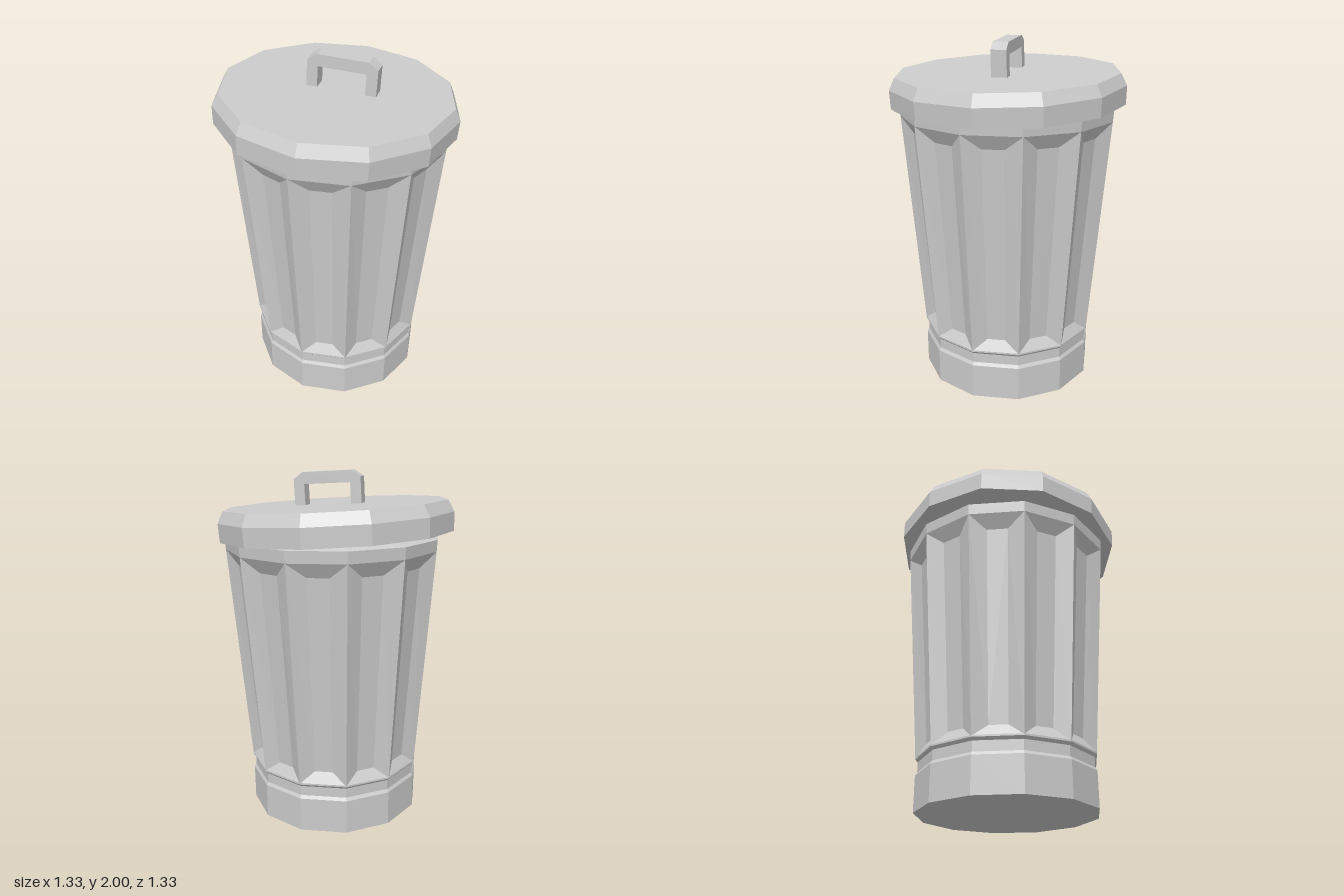
import * as THREE from 'three';

const SIDES = 12;
const material = new THREE.MeshStandardMaterial({ color: 0xcccccc, flatShading: true });

function part(name, geometry) {
  const mesh = new THREE.Mesh(geometry, material);
  mesh.name = name;
  return mesh;
}

// Twelve-sided turned part from [radius, height] pairs, listed bottom to top
function turned(name, profile) {
  const points = profile.map(([r, y]) => new THREE.Vector2(r, y));
  return part(name, new THREE.LatheGeometry(points, SIDES));
}

// Tapered wall: each side is a frame of slopes around a sunken panel
function flutedWall(rBottom, yBottom, rTop, yTop) {
  const positions = [];
  const quad = (a, b, c, d) => {
    for (const p of [a, b, c, a, c, d]) positions.push(p.x, p.y, p.z);
  };
  const corner = (i, y) => {
    const r = THREE.MathUtils.mapLinear(y, yBottom, yTop, rBottom, rTop);
    const angle = (i / SIDES) * Math.PI * 2;
    return new THREE.Vector3(r * Math.sin(angle), y, r * Math.cos(angle));
  };
  const depth = 0.04;
  for (let i = 0; i < SIDES; i++) {
    const mid = ((i + 0.5) / SIDES) * Math.PI * 2;
    const inward = new THREE.Vector3(-Math.sin(mid), 0, -Math.cos(mid)).multiplyScalar(depth);
    const sunken = (t, y) => corner(i, y).lerp(corner(i + 1, y), t).add(inward);
    const outer = [corner(i, yBottom), corner(i + 1, yBottom), corner(i + 1, yTop), corner(i, yTop)];
    const yLow = yBottom + 0.065, yHigh = yTop - 0.08;
    const inner = [sunken(0.31, yLow), sunken(0.69, yLow), sunken(0.69, yHigh), sunken(0.31, yHigh)];
    quad(...inner);
    for (let k = 0; k < 4; k++) {
      const n = (k + 1) % 4;
      quad(outer[k], outer[n], inner[n], inner[k]);
    }
  }
  const geometry = new THREE.BufferGeometry();
  geometry.setAttribute('position', new THREE.Float32BufferAttribute(positions, 3));
  geometry.computeVertexNormals();
  return geometry;
}

// Angular carrying handle, an arch with chamfered shoulders
function handleGeometry() {
  const w = 0.193, leg = 0.06, h = 0.182, bar = 0.066, width = 0.088;
  const shape = new THREE.Shape([
    [-w, -0.02], [-w + leg, -0.02], [-w + leg, h - bar], [w - leg, h - bar],
    [w - leg, -0.02], [w, -0.02], [w, h - 0.036], [w - 0.052, h],
    [-w + 0.052, h], [-w, h - 0.036],
  ].map(([x, y]) => new THREE.Vector2(x, y)));
  const geometry = new THREE.ExtrudeGeometry(shape, { depth: width, bevelEnabled: false });
  return geometry.translate(0, 0, -width / 2);
}

export function createModel() {
  const model = new THREE.Group();
  model.name = 'trashCan';

  // Can, leaning very slightly
  const can = new THREE.Group();
  can.name = 'can';
  can.add(
    turned('base', [[0, 0], [0.508, 0], [0.508, 0.2], [0.497, 0.218], [0.497, 0.275], [0.511, 0.29], [0.511, 0.3]]),
    part('flutedWall', flutedWall(0.511, 0.295, 0.612, 1.565)),
    turned('rim', [[0.612, 1.565], [0.616, 1.63], [0.51, 1.655], [0, 1.655]]),
  );
  can.position.y = 0.005;
  can.rotation.set(-0.006, 0, -0.008);
  model.add(can);

  // Lid, turned a little and resting askew
  const lid = new THREE.Group();
  lid.name = 'lid';
  lid.add(turned('cover', [[0, 0], [0.667, 0], [0.67, 0.105], [0.637, 0.17], [0, 0.17]]));
  const handle = part('handle', handleGeometry());
  handle.position.set(0.026, 0.17, -0.012);
  lid.add(handle);
  lid.position.set(-0.006, 1.642, 0);
  lid.rotation.set(0, THREE.MathUtils.degToRad(8), -0.057, 'ZYX');
  model.add(lid);

  return model;
}
